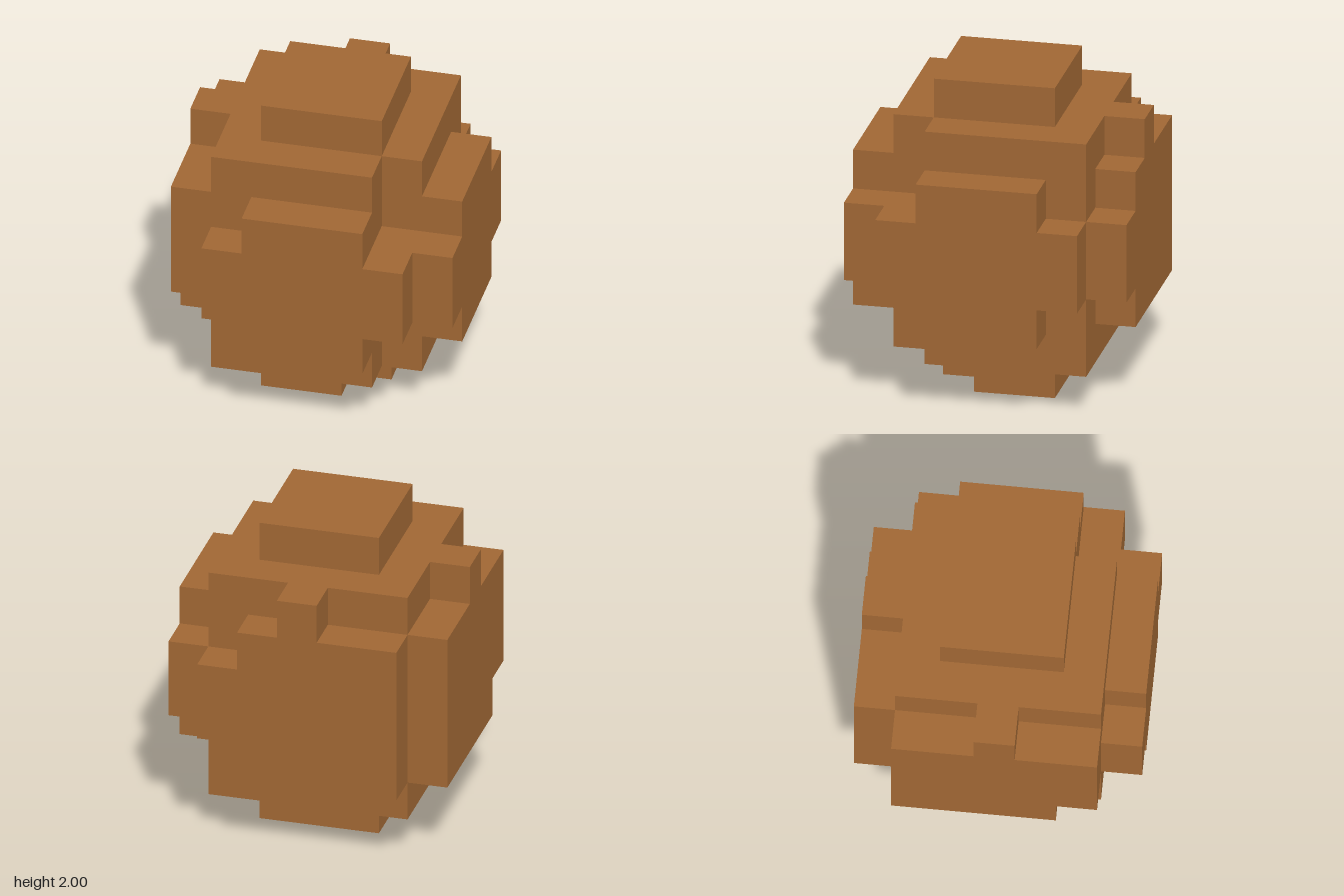
import * as THREE from 'three';

const U = 0.25; // edge of one block
const brown = new THREE.MeshStandardMaterial({ color: 0xa06734 });
brown.name = 'brown';

function slab(name, points, depth) {
  const shape = new THREE.Shape(points.map(([a, b]) => new THREE.Vector2(a, b)));
  const geometry = new THREE.ExtrudeGeometry(shape, { depth, bevelEnabled: false });
  const mesh = new THREE.Mesh(geometry, brown);
  mesh.name = name;
  return mesh;
}

// Horizontal square layer; notched ones lose one block at the +x +z corner
function layer(name, half, y0, y1, notched) {
  const h = half, n = half - U;
  const corner = notched ? [[n, -h], [n, -n], [h, -n]] : [[h, -h]];
  const mesh = slab(name, [[-h, -h], ...corner, [h, h], [-h, h]], y1 - y0);
  mesh.geometry.rotateX(-Math.PI / 2);
  mesh.position.y = y0;
  return mesh;
}

// One-block-thick side panel: cut names the missing corner blocks, bump adds a block on top
function sidePanel(name, angle, cut, bump) {
  const o = 0.625, i = 0.375, b = U / 2;
  const points = [
    ...(cut.bottomLeft ? [[-o, 0.75], [-i, 0.75], [-i, 0.5]] : [[-o, 0.5]]),
    ...(cut.bottomRight ? [[i, 0.5], [i, 0.75], [o, 0.75]] : [[o, 0.5]]),
    ...(cut.topRight ? [[o, 1.25], [i, 1.25], [i, 1.5]] : [[o, 1.5]]),
    ...(bump ? [[b, 1.5], [b, 1.75], [-b, 1.75], [-b, 1.5]] : []),
    ...(cut.topLeft ? [[-i, 1.5], [-i, 1.25], [-o, 1.25]] : [[-o, 1.5]]),
  ];
  const mesh = slab(name, points, U);
  mesh.geometry.translate(0, 0, 0.625);
  mesh.rotation.y = angle;
  return mesh;
}

export function createModel() {
  const model = new THREE.Group();
  model.name = 'blockyBall';

  // Central body, base and cap
  model.add(
    layer('base', 0.375, 0, 0.25, true),
    layer('lowerBody', 0.625, 0.25, 0.75, true),
    layer('middleBody', 0.625, 0.75, 1.25, false),
    layer('upperBody', 0.625, 1.25, 1.75, true),
    layer('cap', 0.375, 1.75, 2, false),
  );

  // Four side panels
  const cross = { bottomLeft: true, bottomRight: true, topLeft: true, topRight: true };
  model.add(
    sidePanel('frontPanel', 0, cross, false),
    sidePanel('leftPanel', Math.PI / 2, cross, false),
    sidePanel('backPanel', Math.PI, { bottomLeft: true, topLeft: true }, true),
    sidePanel('rightPanel', -Math.PI / 2, { bottomRight: true }, true),
  );
  return model;
}
